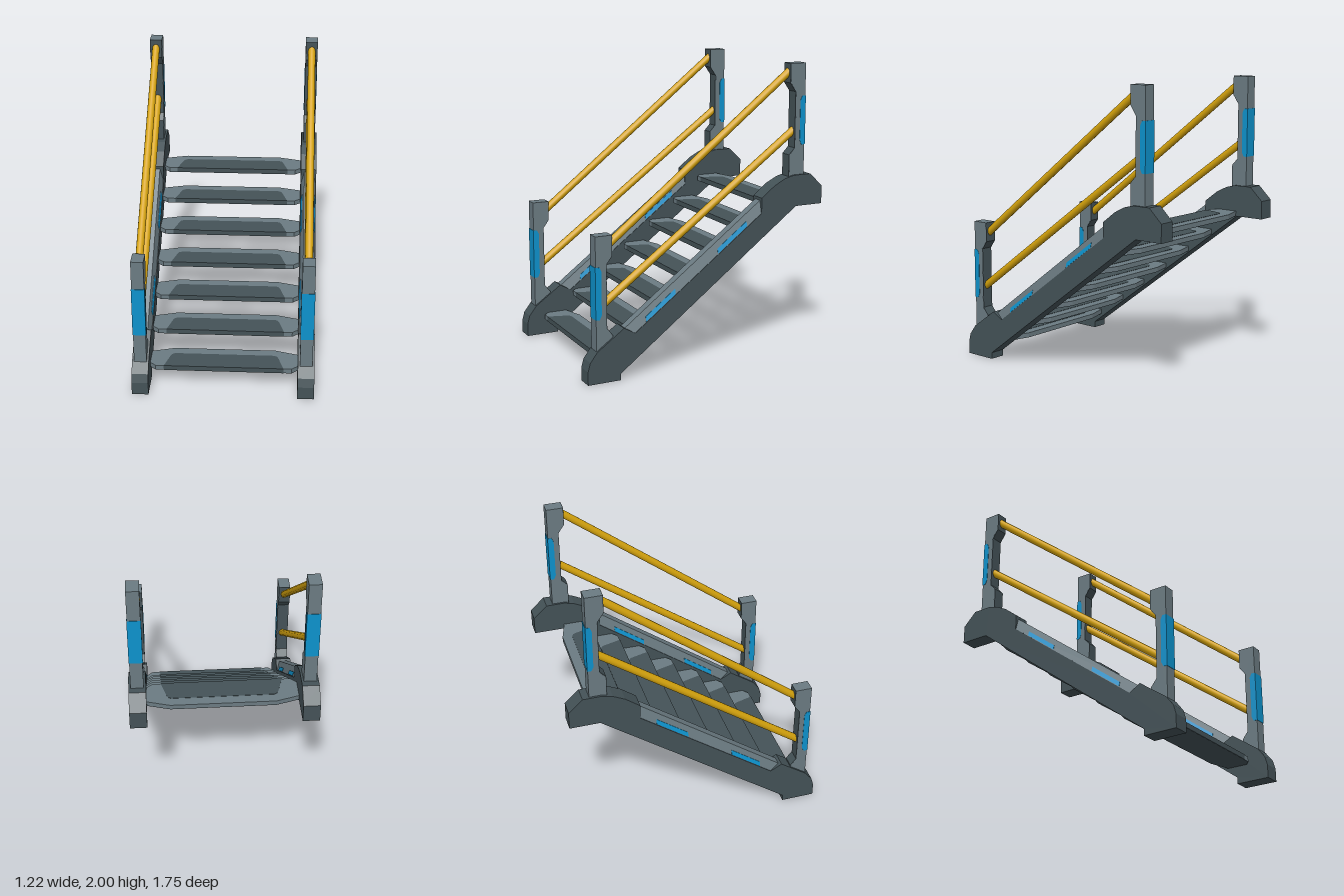
import * as THREE from 'three';

const mat = (name, color, side = THREE.FrontSide) => {
  const m = new THREE.MeshStandardMaterial({ color, side });
  m.name = name;
  return m;
};
const darkGrey = mat('dark grey', 0x445257);
const lightGrey = mat('light grey', 0x6b7b82);
const blue = mat('blue', 0x0d92cc);
const yellow = mat('yellow', 0xd4a20c);

const shapeOf = (pts) => new THREE.Shape(pts.map(([a, b]) => new THREE.Vector2(a, b)));

function add(parent, name, geometry, material) {
  const mesh = new THREE.Mesh(geometry, material);
  mesh.name = name;
  parent.add(mesh);
  return mesh;
}

// Side profile given as (z, y), extruded symmetrically across x
function sideProfile(pts, width) {
  const g = new THREE.ExtrudeGeometry(shapeOf(pts), { depth: width, bevelEnabled: false });
  return g.rotateY(-Math.PI / 2).translate(width / 2, 0, 0);
}

// Plan profile given as (x, distance back), extruded upward
function planProfile(pts, y0, height) {
  const g = new THREE.ExtrudeGeometry(shapeOf(pts), { depth: height, bevelEnabled: false });
  return g.rotateX(-Math.PI / 2).translate(0, y0, 0);
}

// Mirror a half outline in x to close it
const mirrored = (half) => [...half, ...half.map(([x, y]) => [-x, y]).reverse()];

// Inclined strip with slanted sides, lying on top of a stringer
function inclinedStrip(zFront, zBack, t0, t1, grow) {
  const g = new THREE.BoxGeometry(1, 1, 1).toNonIndexed();
  const p = g.attributes.position;
  for (let i = 0; i < p.count; i++) {
    const t = p.getY(i) > 0 ? t1 : t0;
    const z = p.getZ(i) > 0 ? zFront : zBack;
    const width = 0.104 - 0.52 * t + grow;
    p.setXYZ(i, p.getX(i) * width, 0.707 - 0.746 * z + t, z);
  }
  g.computeVertexNormals();
  return g;
}

// Round rail between two (z, y) points
function railGeometry([z0, y0], [z1, y1]) {
  const a = new THREE.Vector3(0, y0, z0), b = new THREE.Vector3(0, y1, z1);
  return new THREE.TubeGeometry(new THREE.LineCurve3(a, b), 1, 0.026, 12);
}

const STRINGER = [
  [0.877, 0], [0.877, 0.09], [0.86, 0.15], [0.81, 0.215], [0.62, 0.35], [0.54, 0.305],
  [-0.4, 1.005], [-0.4, 1.11], [-0.5, 1.187], [-0.58, 1.227], [-0.65, 1.245],
  [-0.78, 1.245], [-0.875, 1.155], [-0.875, 1.03], [-0.67, 1.03], [0.645, 0.045], [0.645, 0],
];

// Each post: outer face z, inner (rail side) edge and the blue panel outline
const POSTS = [
  {
    name: 'lowerPost', outer: 0.81, bottom: 0.18, dir: -1,
    inner: [[0.697, 0.975], [0.697, 0.84], [0.737, 0.785], [0.737, 0.36], [0.697, 0.31], [0.697, 0.18]],
    panel: [[0.813, 0.425], [0.785, 0.425], [0.771, 0.455], [0.771, 0.745], [0.785, 0.773], [0.813, 0.773]],
  },
  {
    name: 'upperPost', outer: -0.734, bottom: 1.2, dir: 1,
    inner: [[-0.62, 2], [-0.62, 1.87], [-0.662, 1.81], [-0.662, 1.43], [-0.62, 1.385], [-0.62, 1.2]],
    panel: [[-0.737, 1.45], [-0.71, 1.45], [-0.696, 1.48], [-0.696, 1.75], [-0.71, 1.78], [-0.737, 1.78]],
  },
];

function buildSide(name) {
  const side = new THREE.Group();
  side.name = name;

  add(side, 'stringer', sideProfile(STRINGER, 0.112), darkGrey);
  add(side, 'stringerCap', inclinedStrip(0.615, -0.405, 0, 0.085, 0), lightGrey);
  add(side, 'lowerCapStripe', inclinedStrip(0.46, 0.245, 0.005, 0.038, 0.005), blue);
  add(side, 'upperCapStripe', inclinedStrip(-0.07, -0.29, 0.005, 0.038, 0.005), blue);

  for (const { name: post, outer, bottom, dir, inner, panel } of POSTS) {
    const body = [...inner, [outer, bottom], [outer, inner[0][1]]];
    add(side, post, sideProfile(body, 0.084), lightGrey);
    add(side, post + 'Panel', sideProfile(panel, 0.089), blue);
    // Dark lining on the face that meets the rails
    const lining = [...inner, ...inner.map(([z, y]) => [z + dir * 0.004, y]).reverse()];
    add(side, post + 'Lining', sideProfile(lining, 0.083), darkGrey);
  }

  add(side, 'topRail', railGeometry([0.72, 0.893], [-0.64, 1.953]), yellow);
  add(side, 'middleRail', railGeometry([0.755, 0.505], [-0.68, 1.553]), yellow);
  return side;
}

function buildTread() {
  const tread = new THREE.Group();
  const outline = mirrored([[0.46, 0], [0.505, 0.04], [0.505, 0.177], [0.347, 0.223]]);
  const pad = mirrored([[0.405, -0.003], [0.37, 0.12], [0.36, 0.143], [0.34, 0.155]]);
  add(tread, 'treadBoard', planProfile(outline, 0, 0.031), lightGrey);
  add(tread, 'treadUnderside', planProfile(outline, -0.003, 0.003), darkGrey);
  add(tread, 'treadGrip', planProfile(pad, -0.002, 0.035), darkGrey);
  return tread;
}

export function createModel() {
  const model = new THREE.Group();
  model.name = 'staircase';

  // Two identical sides
  for (const [name, s] of [['leftSide', 1], ['rightSide', -1]]) {
    const side = buildSide(name);
    side.position.x = s * 0.556;
    model.add(side);
  }

  // Seven treads, the lowest set slightly forward
  for (let i = 0; i < 7; i++) {
    const tread = buildTread();
    tread.name = 'tread' + (i + 1);
    tread.position.set(0, 0.124 + 0.1517 * i, i === 0 ? 0.757 : 0.74 - 0.204 * i);
    model.add(tread);
  }
  return model;
}
